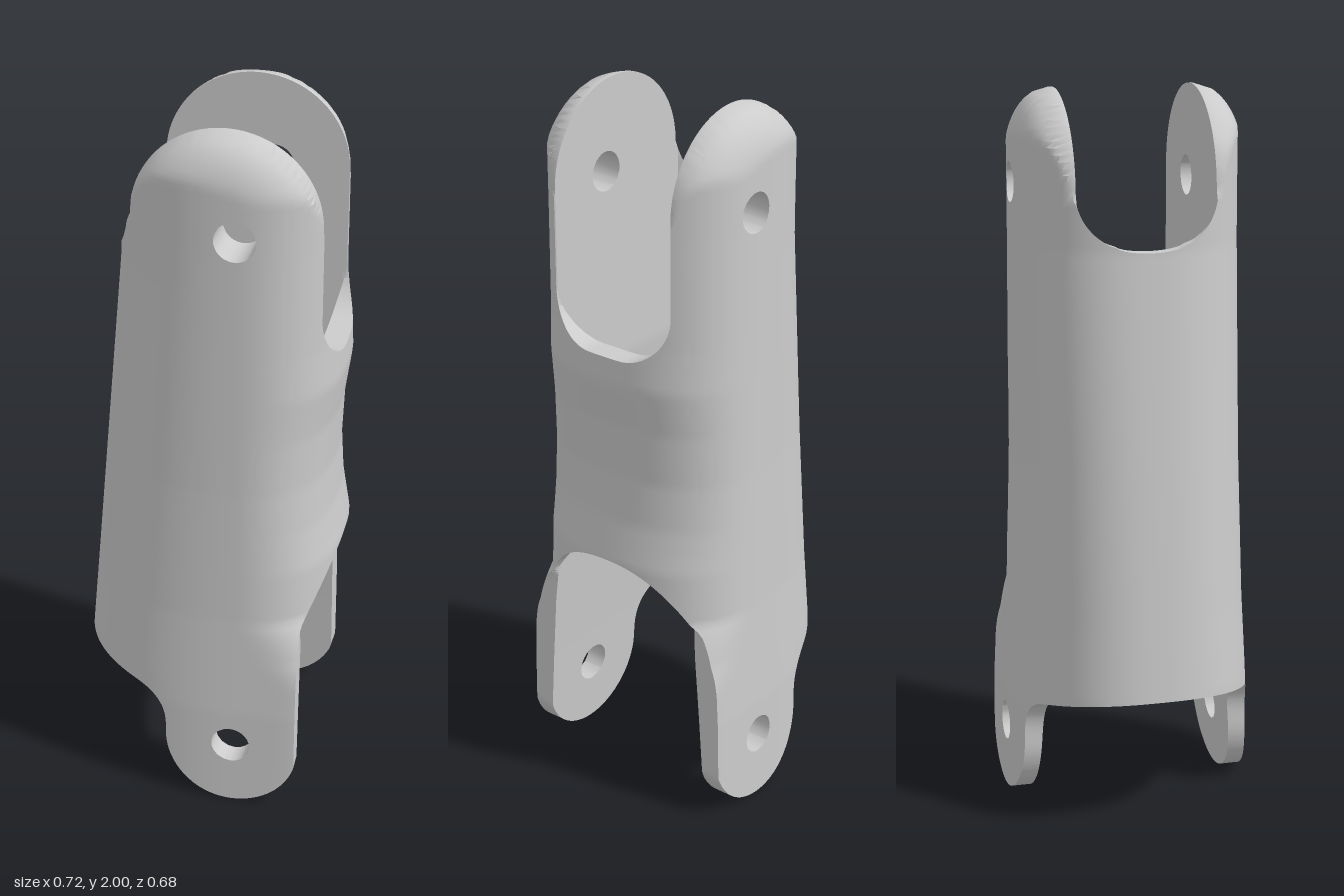
import * as THREE from 'three';
import { mergeVertices, toCreasedNormals } from 'three/addons/utils/BufferGeometryUtils.js';

const CX = 0.105;                       // x of the section centre and of both pin holes
const PINS = [0.19, 1.745], PIN_R = 0.055;

// Piecewise value over height from [y, value] pairs, eased between them
function track(y, pts) {
  if (y <= pts[0][0]) return pts[0][1];
  for (let i = 1; i < pts.length; i++) {
    const [y0, v0] = pts[i - 1], [y1, v1] = pts[i];
    if (y <= y1) return v0 + (v1 - v0) * (y - y0) / (y1 - y0);
  }
  return pts[pts.length - 1][1];
}

const leftX = (y) => track(y, [[0.39, -0.36], [1, -0.305], [1.6, -0.25]]);
const rightX = (y) => track(y, [[0.75, 0.36], [0.87, 0.34], [1, 0.332], [1.15, 0.338], [1.28, 0.356], [1.4, 0.35]]);
const halfZ = (y) => track(y, [[0, 0.34], [0.3, 0.335], [0.6, 0.32], [1, 0.31], [1.7, 0.305]]);
const squareness = (y) => track(y, [[0.4, 8], [0.48, 4.5], [0.6, 2.5], [0.8, 2.4]]);
const innerLeft = (y) => track(y, [[0.39, -0.32], [0.7, -0.26], [1, -0.2], [1.3, -0.19], [1.6, -0.215]]);
const innerRight = (y) => track(y, [[0.5, 0.285], [0.65, 0.275], [1.3, 0.275], [1.45, 0.31]]);
const innerZ = (y) => track(y, [[0, 0.285], [0.3, 0.265], [0.5, 0.25], [0.7, 0.235], [1.2, 0.19]]);

// Inside distance to the rounded outline of the upper ears
function earDistance(x, y) {
  if (y > 1.75) return 0.25 - Math.hypot(x - 0.06, y - 1.75);
  return 0.25 - Math.abs(x - 0.06) + 0.4 * (1.75 - y);
}

// Outer skin: rounded section whose ears dome over towards their edge
function outer(t, y) {
  const c = Math.cos(t), s = Math.sin(t);
  const n = c > 0 ? squareness(y) : 2.5;
  const a = c > 0 ? rightX(y) - CX : CX - leftX(y);
  const r = 1 / Math.pow(Math.abs(c) ** n + Math.abs(s) ** n, 1 / n);
  const x = CX + a * c * r;
  let z = Math.abs(halfZ(y) * s * r);
  if (y > 1.3) {
    const k = 1 - THREE.MathUtils.clamp(earDistance(x, y) / 0.15, 0, 1);
    z = Math.min(z, 0.197 + 0.11 * Math.sqrt(1 - k * k) + Math.max(0, 1.6 - y));
  }
  return new THREE.Vector3(x, y, Math.sign(s) * z);
}

// Inner skin: the outer point held within the flat-sided channel
function inner(t, y) {
  const p = outer(t, y), w = innerZ(y);
  p.x = THREE.MathUtils.clamp(p.x, innerLeft(y), innerRight(y));
  p.z = THREE.MathUtils.clamp(p.z, -w, w);
  return p;
}

// Positive where there is material
function material(t, y) {
  const { x, z } = outer(t, y);
  // upper slot between the ears, deeper on the right wall
  const floor = x > CX ? 1.35 : 1.61, rad = 0.14;
  const qx = Math.abs(z) - 0.192 + rad, qy = floor + rad - y;
  const slot = Math.hypot(Math.max(qx, 0), Math.max(qy, 0)) + Math.min(Math.max(qx, qy), 0) - rad;
  // sloping lower edge blended into the round lower lugs
  const edge = y - (0.39 - 0.25 * (x + 0.36));
  const lug = 0.19 - Math.hypot(x - CX, Math.min(y - PINS[0], 0));
  const h = Math.max(0.1 - Math.abs(edge - lug), 0) / 0.1;
  const bottom = Math.max(edge, lug) + h * h * 0.025;
  // lower arch on the right wall
  const arch = 0.287 + Math.max(0, y - 0.575) * 0.42 - x;
  const holes = PINS.map((py) => Math.hypot(x - CX, y - py) - PIN_R);
  return Math.min(slot, bottom, arch, earDistance(x, y), ...holes);
}

// Walks a grid round the sleeve, trims each cell and skins both sides and the rim
function sleeveGeometry(cols, rows) {
  const pos = [];
  const ab = new THREE.Vector3(), ac = new THREE.Vector3();
  const tri = (a, b, c) => {
    ab.subVectors(b, a);
    ac.subVectors(c, a);
    if (ab.cross(ac).length() < 1e-9) return;
    for (const p of [a, b, c]) pos.push(p.x, p.y, p.z);
  };
  const node = (i, j) => {
    const t = (i % cols) / cols * Math.PI * 2, y = j / rows * 2;
    return { i, t: i / cols * Math.PI * 2, y, f: material(t, y) };
  };
  const grid = [];
  for (let i = 0; i <= cols; i++) {
    grid.push([]);
    for (let j = 0; j <= rows; j++) grid[i].push(node(i, j));
  }
  for (let i = 0; i < cols; i++) for (let j = 0; j < rows; j++) {
    const cell = [grid[i + 1][j], grid[i][j], grid[i][j + 1], grid[i + 1][j + 1]];
    const poly = [];
    cell.forEach((p, k) => {
      const q = cell[(k + 1) % 4];
      if (p.f > 0) poly.push({ t: p.t, y: p.y });
      if ((p.f > 0) !== (q.f > 0)) {
        const m = p.f / (p.f - q.f);
        poly.push({ t: p.t + (q.t - p.t) * m, y: p.y + (q.y - p.y) * m, exit: p.f > 0 });
      }
    });
    if (poly.length < 3) continue;
    const o = poly.map((p) => outer(p.t, p.y)), n = poly.map((p) => inner(p.t, p.y));
    for (let k = 1; k < poly.length - 1; k++) {
      tri(o[0], o[k], o[k + 1]);
      tri(n[0], n[k + 1], n[k]);
    }
    poly.forEach((p, k) => {
      if (!p.exit) return;
      const e = (k + 1) % poly.length;
      tri(o[e], o[k], n[k]);
      tri(o[e], n[k], n[e]);
    });
  }
  const geo = new THREE.BufferGeometry();
  geo.setAttribute('position', new THREE.Float32BufferAttribute(pos, 3));
  return toCreasedNormals(mergeVertices(geo, 1e-4), 0.6);
}

export function createModel() {
  const group = new THREE.Group();
  group.name = 'forkedLink';
  const mat = new THREE.MeshStandardMaterial({ color: 0xcccccc, side: THREE.DoubleSide });
  const sleeve = new THREE.Mesh(sleeveGeometry(160, 120), mat);
  sleeve.name = 'forkedSleeve';
  group.add(sleeve);
  return group;
}
